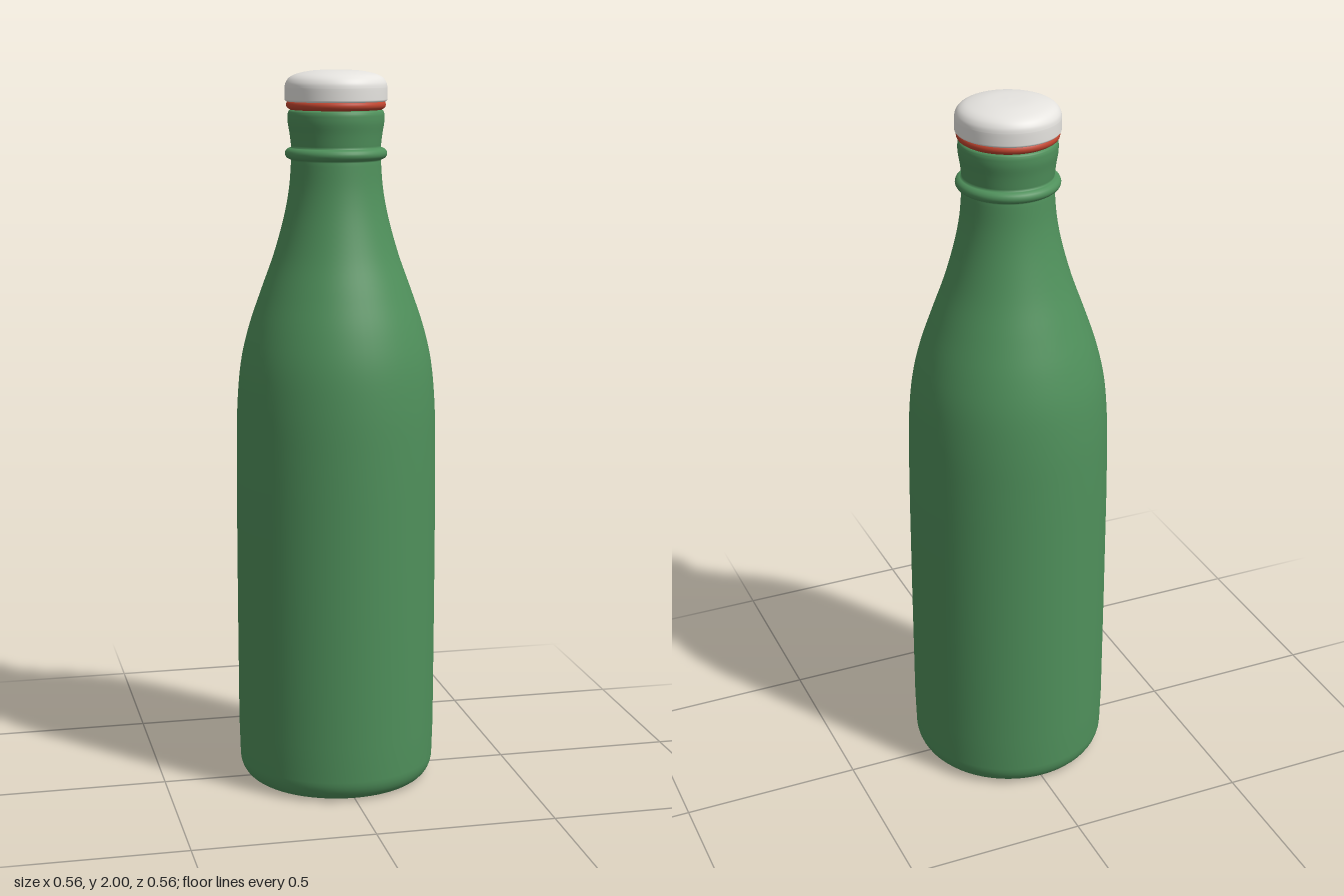
import * as THREE from 'three';

const v = (p) => new THREE.Vector2(p[0], p[1]);

// Smooth open curve through [radius, height] points
const smooth = (points, n) => new THREE.SplineCurve(points.map(v)).getPoints(n);

// Quarter-round corner from angle a to b about (cx, cy)
function corner(cx, cy, rx, ry, a, b, n = 8) {
  return new THREE.EllipseCurve(cx, cy, rx, ry, a, b, b < a).getPoints(n);
}

function turned(name, profile, color) {
  const mesh = new THREE.Mesh(
    new THREE.LatheGeometry(profile, 64),
    new THREE.MeshStandardMaterial({ color, side: THREE.DoubleSide })
  );
  mesh.name = name;
  return mesh;
}

export function createModel() {
  const bottle = new THREE.Group();
  bottle.name = 'bottle';

  // Glass: shallow dished base, rounded heel, straight body, shoulder, neck and lip
  const glass = [
    v([0, 0.012]), v([0.12, 0.01]), v([0.2, 0.004]),
    ...corner(0.23, 0.06, 0.046, 0.06, -Math.PI / 2, 0),
    v([0.279, 0.16]), v([0.28, 0.5]), v([0.28, 0.85]),
    ...smooth([
      [0.279, 0.95], [0.276, 1.08], [0.265, 1.2], [0.242, 1.3], [0.208, 1.4],
      [0.172, 1.5], [0.144, 1.6], [0.129, 1.68], [0.123, 1.755]
    ], 40),
    // Raised neck ring
    ...corner(0.122, 1.775, 0.018, 0.016, -Math.PI / 2, Math.PI / 2, 10),
    // Mouth with rounded lip
    ...smooth([[0.123, 1.797], [0.127, 1.83], [0.132, 1.86], [0.132, 1.882]], 10),
    ...corner(0.122, 1.884, 0.009, 0.009, 0, Math.PI / 2, 5),
    v([0.09, 1.893])
  ];
  bottle.add(turned('glassBody', glass, 0x4f905b));

  // Rubber seal between lip and stopper
  const seal = [
    v([0.09, 1.893]), v([0.125, 1.893]),
    ...corner(0.126, 1.906, 0.01, 0.011, -Math.PI / 2, Math.PI / 2, 8),
    v([0.09, 1.917])
  ];
  bottle.add(turned('rubberSeal', seal, 0xc0452f));

  // Domed stopper cap
  const cap = [
    v([0, 1.915]), v([0.13, 1.915]),
    ...corner(0.134, 1.921, 0.006, 0.006, -Math.PI / 2, 0, 4),
    v([0.14, 1.945]),
    ...smooth([
      [0.14, 1.952], [0.137, 1.966], [0.126, 1.98], [0.104, 1.99], [0.06, 1.998], [0, 2]
    ], 24)
  ];
  bottle.add(turned('stopperCap', cap, 0xe6e4e0));

  return bottle;
}
